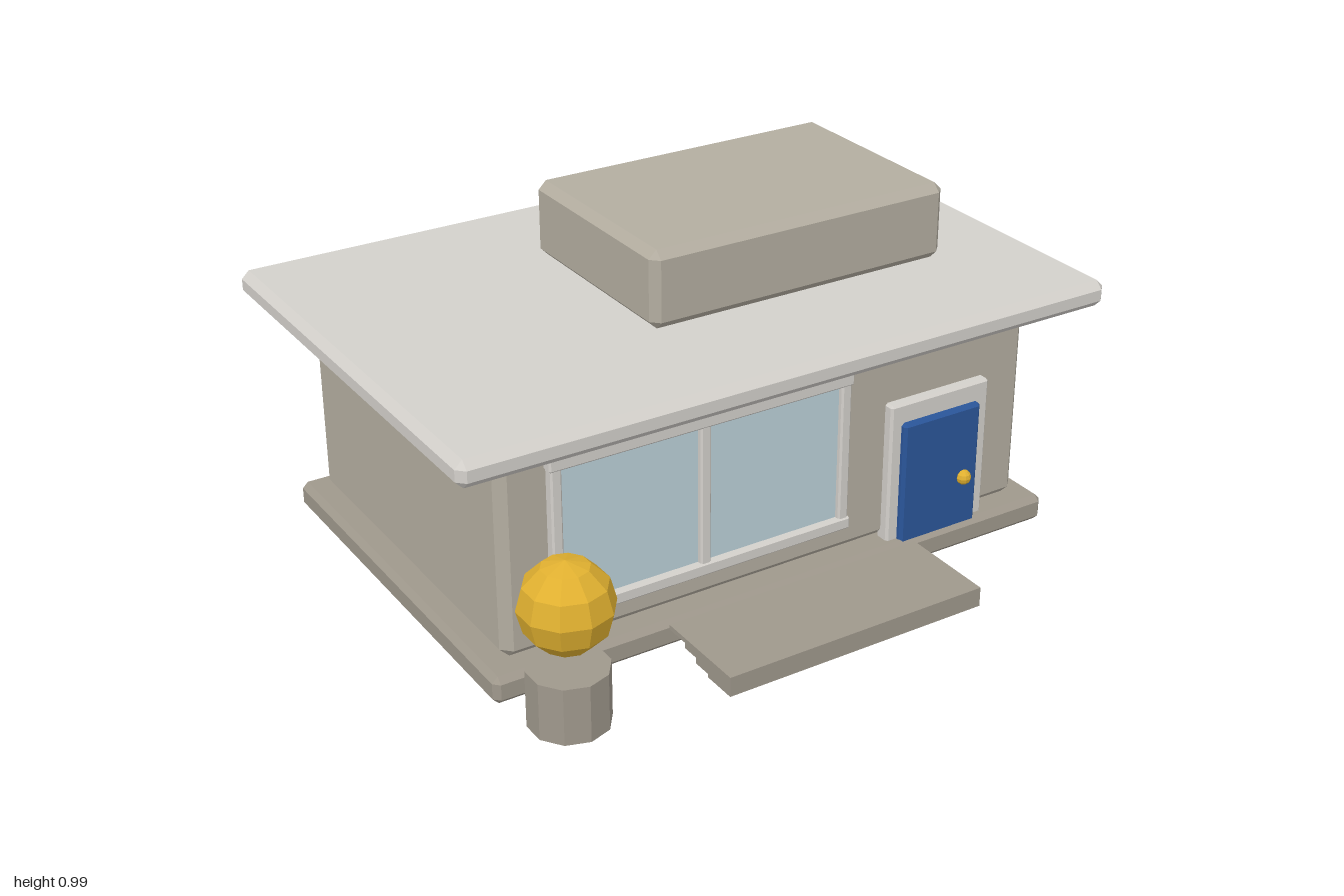
import * as THREE from 'three';
import { ConvexGeometry } from 'three/addons/geometries/ConvexGeometry.js';

const mat = (color, extra = {}) => new THREE.MeshStandardMaterial({ color, flatShading: true, ...extra });

// Box given by its min and max corners, with all edges chamfered by c
function chamferBox([x0, y0, z0], [x1, y1, z1], c) {
  const half = [(x1 - x0) / 2, (y1 - y0) / 2, (z1 - z0) / 2];
  const points = [];
  for (const sx of [-1, 1]) for (const sy of [-1, 1]) for (const sz of [-1, 1]) {
    for (let full = 0; full < 3; full++) {
      const [x, y, z] = half.map((h, axis) => (axis === full ? h : h - c));
      points.push(new THREE.Vector3(sx * x, sy * y, sz * z));
    }
  }
  const geometry = new ConvexGeometry(points);
  geometry.translate((x0 + x1) / 2, (y0 + y1) / 2, (z0 + z1) / 2);
  return geometry;
}

export function createModel() {
  const model = new THREE.Group();
  model.name = 'shop';

  const wall = mat(0xb3ada0);
  const stone = mat(0x9f988c);
  const trim = mat(0xd3d0cb);
  const glass = mat(0xbbd0d8);
  const blue = mat(0x2a5599);
  const gold = mat(0xe0b030);

  const add = (name, geometry, material, parent = model) => {
    const mesh = new THREE.Mesh(geometry, material);
    mesh.name = name;
    parent.add(mesh);
    return mesh;
  };
  const box = (name, min, max, c, material, parent) =>
    add(name, chamferBox(min, max, c), material, parent);

  // Building
  box('foundation', [-0.895, 0, -0.754], [0.895, 0.08, 0.478], 0.017, stone);
  box('walls', [-0.835, 0.078, -0.7], [0.835, 0.686, 0.418], 0.028, wall);
  box('roof', [-1, 0.685, -0.805], [1, 0.762, 0.555], 0.022, trim);
  box('roofBlock', [-0.24, 0.762, -0.46], [0.715, 0.987, 0.18], 0.024, wall);

  // Shop window: pane, rails, side posts and mullion
  const shopWindow = new THREE.Group();
  shopWindow.name = 'shopWindow';
  model.add(shopWindow);
  box('pane', [-0.68, 0.19, 0.4], [0.2, 0.615, 0.43], 0.004, glass, shopWindow);
  for (const y of [0.165, 0.603]) {
    box('rail', [-0.705, y, 0.4], [0.22, y + 0.037, 0.45], 0.005, trim, shopWindow);
  }
  for (const x of [-0.7, -0.261, 0.183]) {
    box('post', [x, 0.18, 0.4], [x + 0.032, 0.625, 0.446], 0.005, trim, shopWindow);
  }

  // Door with surround and knob
  const door = new THREE.Group();
  door.name = 'door';
  model.add(door);
  box('doorSurround', [0.35, 0.07, 0.4], [0.687, 0.5, 0.448], 0.007, trim, door);
  box('doorLeaf', [0.385, 0.012, 0.43], [0.65, 0.442, 0.466], 0.009, blue, door);
  const knob = add('doorKnob', new THREE.SphereGeometry(0.022, 10, 6), gold, door);
  knob.position.set(0.597, 0.224, 0.47);

  // Entrance slab with an underside that climbs in steps towards the wall
  const profile = [
    [0.8, 0.04], [0.8, 0.097], [0.51, 0.097], [0.51, 0.083], [0.585, 0.083],
    [0.585, 0.067], [0.64, 0.067], [0.64, 0.05], [0.697, 0.05], [0.697, 0.04],
  ].map(([z, y]) => new THREE.Vector2(-z, y));
  const slab = new THREE.ExtrudeGeometry(new THREE.Shape(profile), { depth: 0.8, bevelEnabled: false });
  slab.rotateY(Math.PI / 2).translate(-0.4, 0, 0);
  add('entranceSlab', slab, stone);

  // Planter with a clipped round shrub
  const planter = new THREE.Group();
  planter.name = 'planter';
  planter.position.set(-0.762, 0, 0.621);
  model.add(planter);
  add('pot', new THREE.CylinderGeometry(0.11, 0.11, 0.163, 10), stone, planter).position.y = 0.0815;
  const shrub = add('shrub', new THREE.SphereGeometry(0.127, 10, 6), gold, planter);
  shrub.position.y = 0.338;
  shrub.rotation.y = Math.PI / 2;

  return model;
}
